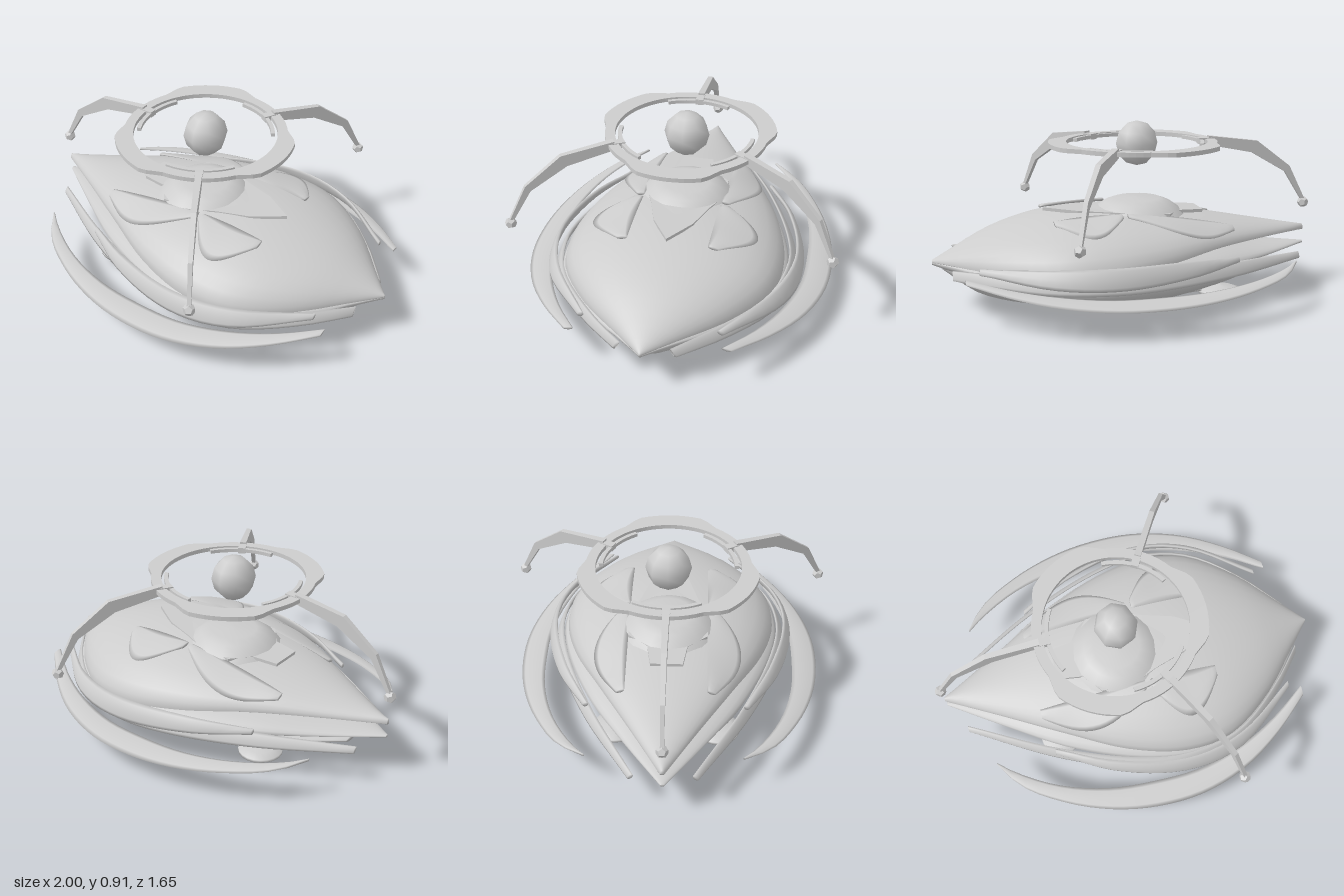
import * as THREE from 'three';

const grey = new THREE.MeshStandardMaterial({ color: 0xcccccc });
grey.name = 'hullGrey';
const greySheet = new THREE.MeshStandardMaterial({ color: 0xcccccc, side: THREE.DoubleSide });
greySheet.name = 'hullGreySheet';

// Smooth interpolation through rows whose first number is x
function sampler(rows) {
  const n = rows[0].length - 1;
  const cubic = new THREE.CubicInterpolant(rows.map(r => r[0]), rows.flatMap(r => r.slice(1)), n);
  return x => Array.from(cubic.evaluate(x));
}

function sampleXs(rows, count) {
  const a = rows[0][0], b = rows[rows.length - 1][0];
  return Array.from({ length: count + 1 }, (_, i) => a + (b - a) * i / count);
}

// Closed skin through equal-length loops, capped at both ends
function skin(loops) {
  const m = loops[0].length, pos = [], index = [];
  loops.forEach(l => l.forEach(p => pos.push(p.x, p.y, p.z)));
  for (let i = 0; i < loops.length - 1; i++) {
    for (let j = 0; j < m; j++) {
      const k = (j + 1) % m;
      const a = i * m + j, b = a + m, c = (i + 1) * m + k, d = i * m + k;
      index.push(a, b, c, a, c, d);
    }
  }
  [0, loops.length - 1].forEach((row, end) => {
    const mid = loops[row].reduce((s, p) => s.add(p), new THREE.Vector3()).divideScalar(m);
    const centre = pos.length / 3;
    pos.push(mid.x, mid.y, mid.z);
    for (let j = 0; j < m; j++) {
      const a = row * m + j, b = row * m + (j + 1) % m;
      index.push(centre, end ? b : a, end ? a : b);
      if (end) index.splice(-3, 3, centre, a, b), index.splice(-2, 2, b, a);
    }
  });
  const g = new THREE.BufferGeometry();
  g.setAttribute('position', new THREE.Float32BufferAttribute(pos, 3));
  g.setIndex(index);
  g.computeVertexNormals();
  return g;
}

// Leaf-shaped body from rows of [x, halfWidth, edgeY, topY, bottomY]
function leafBody(rows, sides = 32) {
  const at = sampler(rows);
  return skin(sampleXs(rows, 32).map(x => {
    const [w, mid, top, bot] = at(x);
    return Array.from({ length: sides }, (_, j) => {
      const t = j / sides * Math.PI * 2, s = Math.sin(t);
      return new THREE.Vector3(x, mid + s * (s > 0 ? top - mid : mid - bot), w * Math.cos(t));
    });
  }));
}

// Thin blade from rows of [x, innerZ, innerY, outerZ, outerY]; side is 1 or -1
function blade(rows, side, thick, count = 20) {
  const at = sampler(rows);
  return skin(sampleXs(rows, count).map(x => {
    const [zi, yi, zo, yo] = at(x);
    const hz = side * (zo - zi) / 2, hy = (yo - yi) / 2, len = Math.hypot(hz, hy) || 1;
    return Array.from({ length: 8 }, (_, j) => {
      const t = j / 8 * Math.PI * 2, c = Math.cos(t), s = Math.sin(t) * thick / 2;
      return new THREE.Vector3(x, (yi + yo) / 2 + hy * c + hz / len * s,
        side * (zi + zo) / 2 + hz * c - hy / len * s);
    });
  }));
}

const canopyRows = [
  [-0.97, 0.01, 0.305, 0.33, 0.3], [-0.7, 0.16, 0.31, 0.375, 0.3], [-0.4, 0.33, 0.31, 0.425, 0.29],
  [-0.1, 0.48, 0.28, 0.465, 0.26], [0.2, 0.55, 0.25, 0.48, 0.24], [0.45, 0.515, 0.24, 0.455, 0.23],
  [0.7, 0.34, 0.24, 0.39, 0.23], [0.88, 0.14, 0.24, 0.31, 0.23], [1, 0.005, 0.24, 0.25, 0.23]];
const middleRows = [
  [-0.97, 0.01, 0.232, 0.24, 0.225], [-0.7, 0.19, 0.22, 0.26, 0.2], [-0.4, 0.38, 0.22, 0.3, 0.17],
  [0, 0.54, 0.22, 0.33, 0.14], [0.25, 0.57, 0.22, 0.33, 0.13], [0.5, 0.51, 0.22, 0.31, 0.14],
  [0.75, 0.31, 0.22, 0.28, 0.17], [0.9, 0.12, 0.23, 0.25, 0.19], [1, 0.005, 0.235, 0.245, 0.225]];
const lowerRows = [
  [-0.78, 0.05, 0.15, 0.16, 0.135], [-0.4, 0.35, 0.16, 0.2, 0.075], [0, 0.5, 0.17, 0.2, 0.01],
  [0.25, 0.52, 0.17, 0.2, 0.01], [0.5, 0.4, 0.16, 0.2, 0.025], [0.78, 0.13, 0.15, 0.21, 0.075],
  [0.95, 0.02, 0.215, 0.225, 0.2]];
const finRows = [
  [-0.78, 0.375, 0.225, 0.385, 0.222], [-0.7, 0.44, 0.21, 0.5, 0.2], [-0.5, 0.555, 0.19, 0.64, 0.173],
  [-0.25, 0.63, 0.175, 0.74, 0.153], [0, 0.65, 0.17, 0.78, 0.145], [0.25, 0.64, 0.172, 0.765, 0.148],
  [0.5, 0.57, 0.187, 0.68, 0.165], [0.7, 0.47, 0.207, 0.55, 0.19], [0.87, 0.35, 0.23, 0.4, 0.22]];
const longStrakeRows = [
  [-0.89, 0.14, 0.215, 0.165, 0.185], [-0.45, 0.38, 0.245, 0.42, 0.18], [0, 0.545, 0.26, 0.59, 0.18],
  [0.22, 0.57, 0.27, 0.61, 0.18], [0.5, 0.5, 0.26, 0.54, 0.18], [0.75, 0.3, 0.24, 0.34, 0.18],
  [0.91, 0.12, 0.22, 0.15, 0.175]];
const shortStrakeRows = [
  [-0.47, 0.385, 0.27, 0.41, 0.25], [-0.2, 0.52, 0.3, 0.56, 0.23], [0.2, 0.605, 0.31, 0.645, 0.21],
  [0.5, 0.53, 0.3, 0.58, 0.22], [0.8, 0.32, 0.27, 0.35, 0.25]];
const keelRows = [
  [-0.3, 0.31, 0.095, 0.33, 0.1], [0.1, 0.16, 0.018, 0.24, 0.03], [0.45, 0.06, 0.022, 0.15, 0.035],
  [0.8, 0, 0.1, 0.02, 0.092]];

// Thin shield laid on the canopy; outline bulges in z between z0 and z1
function shield(x0, x1, z0, z1, side) {
  const at = sampler(canopyRows);
  const height = (x, z) => {
    const [w, mid, top] = at(x);
    return mid + (top - mid) * Math.sqrt(Math.max(0.03, 1 - (z / w) ** 2)) + 0.012;
  };
  const rows = Array.from({ length: 9 }, (_, i) => {
    const u = i / 8, x = x0 + (x1 - x0) * u, zo = z0 + (z1 - z0) * (0.25 + 0.75 * Math.sin(u * Math.PI));
    return [x, z0, height(x, z0), zo, height(x, zo)];
  });
  return blade(rows, side, 0.018, 16);
}

function plate(points, depth) {
  const shape = new THREE.Shape(points.map(p => new THREE.Vector2(p[0], p[1])));
  return new THREE.ExtrudeGeometry(shape, { depth, bevelEnabled: false }).translate(0, 0, -depth / 2);
}

export function createModel() {
  const model = new THREE.Group();
  const add = (name, geo, parent = model, mat = grey) => {
    const mesh = new THREE.Mesh(geo, mat);
    mesh.name = name;
    parent.add(mesh);
    return mesh;
  };

  // Hull layers
  add('upperCanopy', leafBody(canopyRows), model, greySheet);
  add('middleHull', leafBody(middleRows), model, greySheet);
  add('lowerHull', leafBody(lowerRows), model, greySheet);
  add('tailKnob', new THREE.IcosahedronGeometry(0.018, 1).translate(0.98, 0.235, 0));

  // Mirrored fins, strakes, shields and landing pads
  for (const [side, label] of [[1, 'left'], [-1, 'right']]) {
    add(label + 'CrescentFin', blade(finRows, side, 0.016, 28), model, greySheet);
    add(label + 'LongStrake', blade(longStrakeRows, side, 0.02, 28), model, greySheet);
    add(label + 'ShortStrake', blade(shortStrakeRows, side, 0.025), model, greySheet);
    add(label + 'KeelBlade', blade(keelRows, side, 0.014), model, greySheet);
    add(label + 'FrontShield', shield(-0.5, 0.05, 0.2, 0.37, side), model, greySheet);
    add(label + 'RearShield', shield(0.08, 0.42, 0.2, 0.42, side), model, greySheet);
    const pad = [[0, 0.05], [0.08, 0.05], [0.11, 0.06], [0.11, 0.075], [0.07, 0.09], [0, 0.1]];
    add(label + 'LandingPad', new THREE.LatheGeometry(pad.map(p => new THREE.Vector2(...p)), 20)
      .translate(-0.42, 0, side * 0.26));
  }

  // Dome with pointed leaf plate
  const dome = [[0.26, 0.42], [0.22, 0.465], [0.17, 0.5], [0.12, 0.518], [0, 0.522]];
  add('topDome', new THREE.LatheGeometry(dome.map(p => new THREE.Vector2(...p)), 16).translate(-0.05, 0, 0));
  const half = [[-0.38, 0.08], [-0.25, 0.1], [-0.17, 0.2], [0, 0.2], [0.12, 0.15], [0.28, 0.1]];
  const leaf = [...half, [0.44, 0], ...half.map(p => [p[0], -p[1]]).reverse()];
  add('domeLeaf', plate(leaf.reverse(), 0.016).rotateX(-Math.PI / 2).rotateZ(0.04).translate(0, 0.463, 0));

  // Hovering crown: orb, lobed ring and three arms
  const crown = new THREE.Group();
  crown.name = 'crown';
  crown.position.set(-0.05, 0.8, 0);
  model.add(crown);
  add('orb', new THREE.SphereGeometry(0.115, 8, 6).scale(0.95, 1, 1), crown);

  const ring = new THREE.Shape();
  for (let i = 0; i < 72; i++) {
    const a = i / 72 * Math.PI * 2;
    const r = 0.41 + 0.042 * THREE.MathUtils.clamp(Math.cos(3 * a) * 1.6 + 0.3, 0, 1);
    ring[i ? 'lineTo' : 'moveTo'](r * Math.cos(a), r * Math.sin(a));
  }
  ring.closePath();
  ring.holes.push(new THREE.Path().absarc(0, 0, 0.36, 0, Math.PI * 2, true));
  add('lobedRing', new THREE.ExtrudeGeometry(ring, { depth: 0.022, bevelEnabled: false, curveSegments: 36 })
    .translate(0, 0, -0.011).rotateX(-Math.PI / 2), crown);

  const armProfile = [[0.38, -0.022], [0.62, -0.07], [0.81, -0.18], [0.91, -0.34], [0.93, -0.34],
    [0.835, -0.15], [0.65, -0.01], [0.38, 0.025]];
  for (let k = 0; k < 3; k++) {
    const arm = new THREE.Group();
    arm.name = 'arm' + (k + 1);
    arm.rotation.y = Math.PI / 3 + k * Math.PI * 2 / 3;
    crown.add(arm);
    const beam = plate(armProfile, 0.034), p = beam.attributes.position;
    for (let i = 0; i < p.count; i++) p.setZ(i, p.getZ(i) * (1.3 - 0.8 * p.getX(i)));
    beam.computeVertexNormals();
    add('armBeam', beam, arm);
    add('armTip', new THREE.DodecahedronGeometry(0.03).translate(0.92, -0.35, 0), arm);
    // Inner arc joined to the ring behind each arm
    const arc = new THREE.Shape();
    arc.absarc(0, 0, 0.345, -0.5, 0.5, false);
    arc.absarc(0, 0, 0.325, 0.5, -0.5, true);
    add('innerArc', new THREE.ExtrudeGeometry(arc, { depth: 0.018, bevelEnabled: false })
      .translate(0, 0, -0.009).rotateX(-Math.PI / 2), arm);
    add('arcBracket', new THREE.BoxGeometry(0.07, 0.03, 0.04).translate(0.36, 0, 0), arm);
  }
  return model;
}
